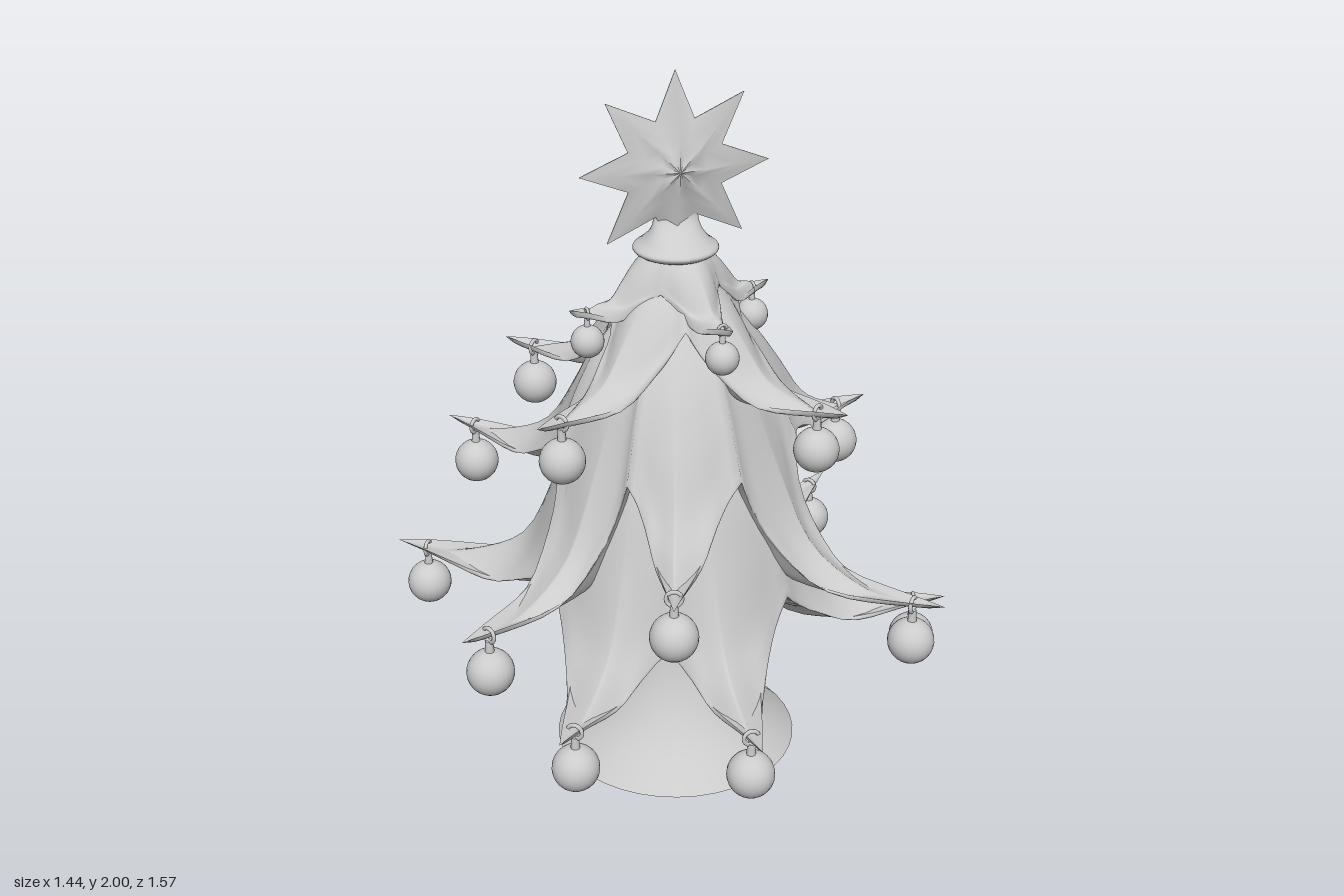
import * as THREE from 'three';

const material = new THREE.MeshStandardMaterial({ color: 0xcccccc, side: THREE.DoubleSide });
const V2 = (x, y) => new THREE.Vector2(x, y);
const lerp = THREE.MathUtils.lerp;

function add(parent, geometry, name) {
  const mesh = new THREE.Mesh(geometry, material);
  mesh.name = name;
  parent.add(mesh);
  return mesh;
}

// Each tier: top height and radius, body radius, notch radius and height (from the
// bough tips if not given), edge curve, bauble size, bauble centres [x, y, z]
const TIERS = [
  { y0: 1.53, r0: 0.07, rb: 0.175, rv: 0.12, notch: 1.43, edge: 1.6, ball: 0.045, balls: [
    [-0.25, 1.29, 0.01], [0.23, 1.29, -0.03], [0.05, 1.29, 0.23], [-0.01, 1.29, -0.24]] },
  { y0: 1.49, r0: 0.05, rb: 0.26, rv: 0.18, notch: 1.35, edge: 1.5, ball: 0.061, balls: [
    [-0.39, 1.07, 0.245], [0.27, 1.05, 0.355], [-0.32, 1.05, -0.3], [0.265, 1.03, -0.345]] },
  { y0: 1.42, r0: 0.09, rb: 0.36, rv: 0.335, notch: 0.97, edge: 1.6, ball: 0.064, balls: [
    [0.5, 0.855, -0.045], [-0.2, 0.7, 0.58], [-0.465, 0.745, -0.465],
    [0.095, 0.7, -0.66], [-0.62, 0.52, 0.315], [0.5, 0.51, 0.515]] },
  { y0: 1.15, r0: 0.22, rb: 0.4, rv: 0.39, edge: 2.2, ball: 0.064, balls: [
    [0.635, 0.345, 0.25], [-0.025, 0.31, 0.685], [-0.445, 0.3, 0.5],
    [-0.64, 0.4, -0.4], [0.125, 0.355, -0.705], [0.59, 0.39, -0.425]] },
];

// Grid of points, closed around in columns, as a smooth surface
function closedSurface(columns) {
  const n = columns.length, m = columns[0].length, index = [];
  for (let i = 0; i < n; i++) {
    for (let j = 0; j < m - 1; j++) {
      const a = i * m + j, b = ((i + 1) % n) * m + j;
      index.push(a, b, a + 1, b, b + 1, a + 1);
    }
  }
  const g = new THREE.BufferGeometry();
  g.setAttribute('position', new THREE.Float32BufferAttribute(columns.flat(2), 3));
  g.setIndex(index);
  g.computeVertexNormals();
  return g;
}

// Profile running down a bough and out to its upturned tip
function boughProfile({ y0, r0, rb }, tip) {
  const H = y0 - tip.y, d = rb - r0, out = tip.r - rb;
  return new THREE.SplineCurve([
    V2(r0, y0), V2(r0 + d * 0.5, y0 - H * 0.33), V2(r0 + d * 0.82, y0 - H * 0.6),
    V2(rb + out * 0.12, y0 - H * 0.86), V2(rb + out * 0.45, tip.y + 0.014),
    V2(rb + out * 0.8, tip.y - 0.012), V2(tip.r, tip.y + 0.01)]);
}

// Profile of the notch between two boughs
function notchProfile({ y0, r0, rv }, yv) {
  const f = [[0, 0], [0.45, 0.32], [0.7, 0.58], [0.85, 0.78], [0.93, 0.9], [0.98, 0.96], [1, 1]];
  return new THREE.SplineCurve(f.map(([a, b]) => V2(lerp(r0, rv, a), lerp(y0, yv, b))));
}

function buildTier(tier) {
  const tips = tier.balls.map(([x, y, z]) => ({
    a: Math.atan2(z, x),
    r: Math.hypot(x, z) + (tier.ball < 0.05 ? 0.05 : 0.09),
    y: y + tier.ball * 1.85,
  })).sort((p, q) => p.a - q.a);
  const top = [], under = [], ROWS = 20, STEPS = 12;

  function column(tip, notch, yv, angle, u) {
    const bough = boughProfile(tier, tip), c = Math.cos(angle), s = Math.sin(angle);
    const col = [], low = [];
    let r, y;
    for (let j = 0; j <= ROWS; j++) {
      const t = j / ROWS, p = bough.getPoint(t), q = notch.getPoint(t);
      // Round across the body, narrowing to a point at the tip
      const round = Math.cos(Math.PI * u / 2) ** 2;
      r = lerp(q.x, p.x, lerp(round, Math.pow(1 - u, 3.5), Math.pow(t, 1.5)));
      y = lerp(q.y, p.y, 1 - Math.pow(u, tier.edge));
      y -= 0.03 * t * t * Math.sin(Math.PI * Math.min(1, u * 1.8)) ** 2;
      col.push([r * c, y, r * s]);
    }
    for (let j = 0; j <= 8; j++) {
      const k = j / 8, rr = lerp(r, 0.09, k);
      const yy = lerp(y, yv + 0.12, Math.pow(k, 2.5)) - 0.04 * (1 - u) * Math.sin(Math.PI * k);
      low.push([rr * c, Math.min(yy, 1.45), rr * s]);
    }
    top.push(col);
    under.push(low.reverse());
  }

  tips.forEach((tip, i) => {
    const next = tips[(i + 1) % tips.length];
    const gap = (next.a - tip.a + Math.PI * 2) % (Math.PI * 2);
    const yv = tier.notch ?? (tip.y + next.y) / 2 + 0.12 * gap;
    const notch = notchProfile(tier, yv);
    for (let k = 0; k <= STEPS; k++) {
      const u = Math.pow(k / STEPS, 1.5);
      column(tip, notch, yv, tip.a + u * gap / 2, u);
    }
    for (let k = STEPS - 1; k > 0; k--) {
      const u = Math.pow(k / STEPS, 1.5);
      column(next, notch, yv, tip.a + gap - u * gap / 2, u);
    }
  });

  const group = new THREE.Group();
  add(group, closedSurface(top), 'boughs');
  add(group, closedSurface(under), 'boughUnderside');
  return group;
}

// Ball with a stem and a ring looped around the bough
function buildBauble([x, y, z], radius) {
  const g = new THREE.Group();
  g.name = 'bauble';
  add(g, new THREE.SphereGeometry(radius, 24, 16), 'ball');
  add(g, new THREE.CylinderGeometry(radius * 0.16, radius * 0.2, radius * 0.6, 10), 'stem')
    .position.y = radius * 1.2;
  add(g, new THREE.TorusGeometry(radius * 0.32, radius * 0.09, 8, 18), 'ring')
    .position.y = radius * 1.75;
  g.position.set(x, y, z);
  g.rotation.y = Math.atan2(x, z);
  return g;
}

// Eight-pointed star: a ring of columns from the front centre over the rim to the back
function starGeometry() {
  const columns = [];
  for (let i = 0; i < 16; i++) {
    const a = -i * Math.PI / 8, notch = i % 2;
    const rim = notch ? 0.138 : i % 4 ? 0.264 : 0.258;
    const half = [[0, 0.046], [0.3, notch ? 0.03 : 0.036], [0.65, notch ? 0.012 : 0.018], [1, 0.002]];
    const side = [...half, ...half.map(([f, z]) => [f, -z]).reverse()];
    columns.push(side.map(([f, z]) => [Math.sin(a) * rim * f, Math.cos(a) * rim * f, z]));
  }
  return closedSurface(columns.reverse());
}

export function createModel() {
  const tree = new THREE.Group();
  tree.name = 'decoratedTree';

  // Flared hollow trunk
  const trunk = new THREE.SplineCurve([V2(0.35, 0), V2(0.245, 0.11), V2(0.178, 0.24),
    V2(0.146, 0.39), V2(0.134, 0.55), V2(0.13, 0.75), V2(0.12, 1.0)]);
  add(tree, new THREE.LatheGeometry(trunk.getPoints(24), 40), 'trunk');

  // Bough tiers with their baubles
  TIERS.forEach((tier, i) => {
    const group = buildTier(tier);
    group.name = 'tier' + (i + 1);
    tier.balls.forEach(b => group.add(buildBauble(b, tier.ball)));
    tree.add(group);
  });

  // Rounded collar whose neck flattens into the star
  const profile = new THREE.SplineCurve([V2(0.05, 1.5), V2(0.095, 1.507), V2(0.115, 1.525),
    V2(0.09, 1.547), V2(0.07, 1.575), V2(0.062, 1.61), V2(0.07, 1.66)]);
  const collar = new THREE.LatheGeometry(profile.getPoints(30), 32);
  const p = collar.attributes.position;
  for (let i = 0; i < p.count; i++) {
    p.setZ(i, p.getZ(i) * lerp(1, 0.28, THREE.MathUtils.smoothstep(p.getY(i), 1.54, 1.62)));
  }
  collar.computeVertexNormals();
  add(tree, collar, 'collarAndNeck');

  add(tree, starGeometry(), 'star').position.set(-0.005, 1.742, 0.01);
  return tree;
}
